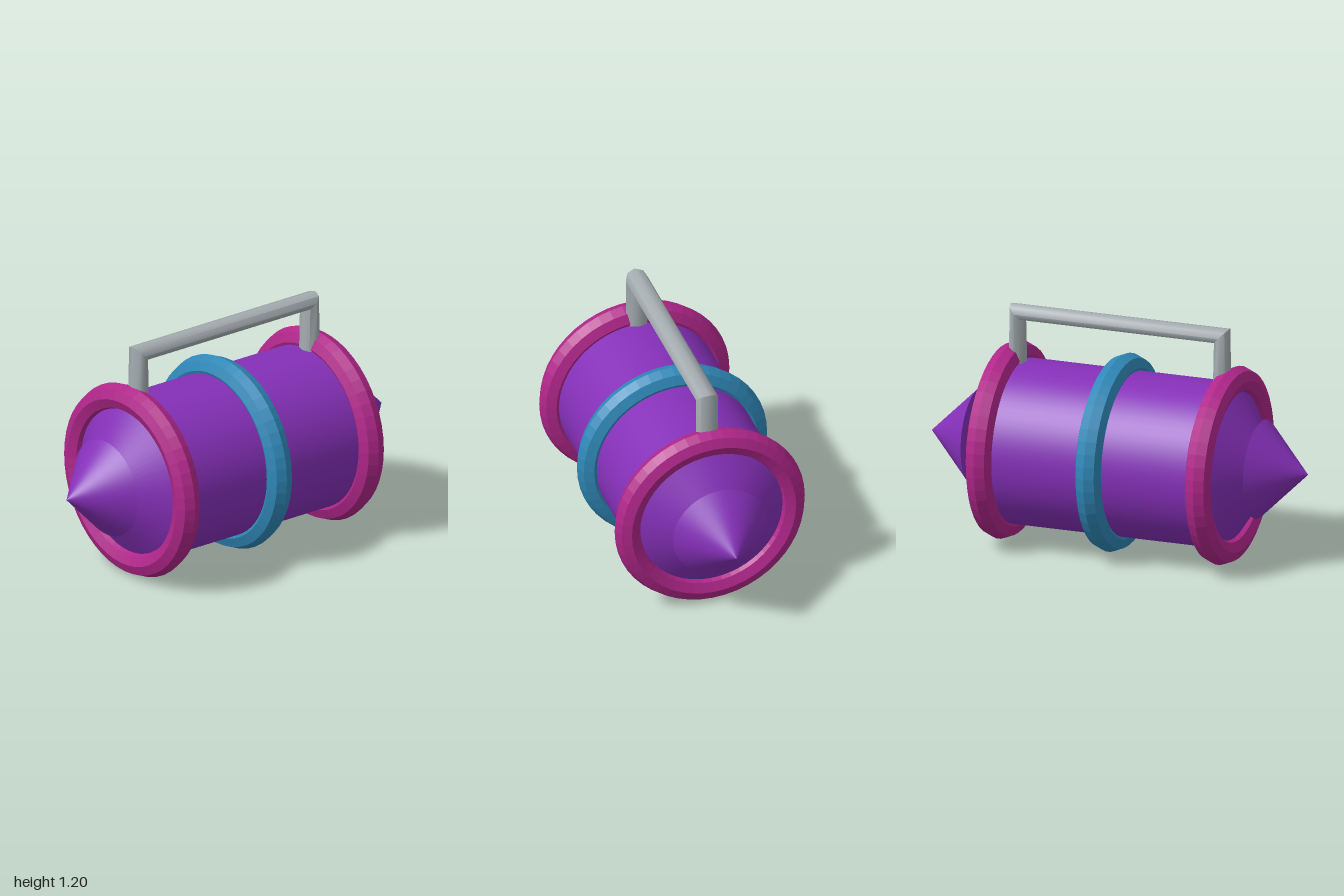
import * as THREE from 'three';
import { toCreasedNormals } from 'three/addons/utils/BufferGeometryUtils.js';

const AXIS_Y = 0.498;

function material(name, color, extra = {}) {
  const m = new THREE.MeshStandardMaterial({ color, ...extra });
  m.name = name;
  return m;
}

// Mitred handle: an eight-sided oval section carried along three straight runs
function handleGeometry() {
  const sides = 8;
  // x, y of the section centre, then the offset that spans the section
  const sections = [
    [-0.543, 0.8, 0.05, 0],
    [-0.5425, 1.165, 0.0385, -0.04],
    [0.5425, 1.165, -0.0385, -0.04],
    [0.543, 0.8, -0.05, 0],
  ];
  const positions = [], index = [];
  for (const [x, y, dx, dy] of sections) {
    for (let j = 0; j < sides; j++) {
      const a = (j / sides) * Math.PI * 2;
      positions.push(x + dx * Math.cos(a), y + dy * Math.cos(a), 0.058 * Math.sin(a));
    }
  }
  for (let i = 0; i < sections.length - 1; i++) {
    for (let j = 0; j < sides; j++) {
      const k = (j + 1) % sides;
      const a = i * sides + j, b = i * sides + k;
      const c = a + sides, d = b + sides;
      index.push(a, b, c, b, d, c);
    }
  }
  const g = new THREE.BufferGeometry();
  g.setAttribute('position', new THREE.Float32BufferAttribute(positions, 3));
  g.setIndex(index);
  return toCreasedNormals(g, 1.0);
}

export function createModel() {
  const model = new THREE.Group();
  model.name = 'barrelCapsule';

  const purple = material('purple', 0x8530b8);
  const magenta = material('magenta', 0xb0268a, { flatShading: true });
  const blue = material('blue', 0x2f88b8, { flatShading: true });
  const grey = material('grey', 0xa4acb0, { side: THREE.DoubleSide });

  const add = (name, geometry, mat, x = 0, y = AXIS_Y) => {
    const mesh = new THREE.Mesh(geometry, mat);
    mesh.name = name;
    mesh.position.set(x, y, 0);
    model.add(mesh);
    return mesh;
  };

  // Barrel lying along x
  const barrel = new THREE.CylinderGeometry(0.414, 0.414, 1.16, 64);
  add('barrel', barrel.rotateZ(Math.PI / 2), purple);

  // Bands round the barrel
  const band = new THREE.TorusGeometry(0.428, 0.068, 8, 48).rotateY(Math.PI / 2);
  add('middleBand', band, blue);

  // Each end has a band, a wide cone and a pointed tip
  for (const [side, s] of [['left', 1], ['right', -1]]) {
    add(side + 'Band', band, magenta, s * 0.583);
    const wide = new THREE.ConeGeometry(0.414, 0.28, 64).rotateZ(-s * Math.PI / 2);
    add(side + 'EndCone', wide, purple, s * 0.72);
    const tip = new THREE.ConeGeometry(0.247, 0.25, 64).rotateZ(-s * Math.PI / 2);
    add(side + 'Tip', tip, purple, s * 0.875);
  }

  // Carrying handle
  add('handle', handleGeometry(), grey, 0, 0);

  return model;
}
